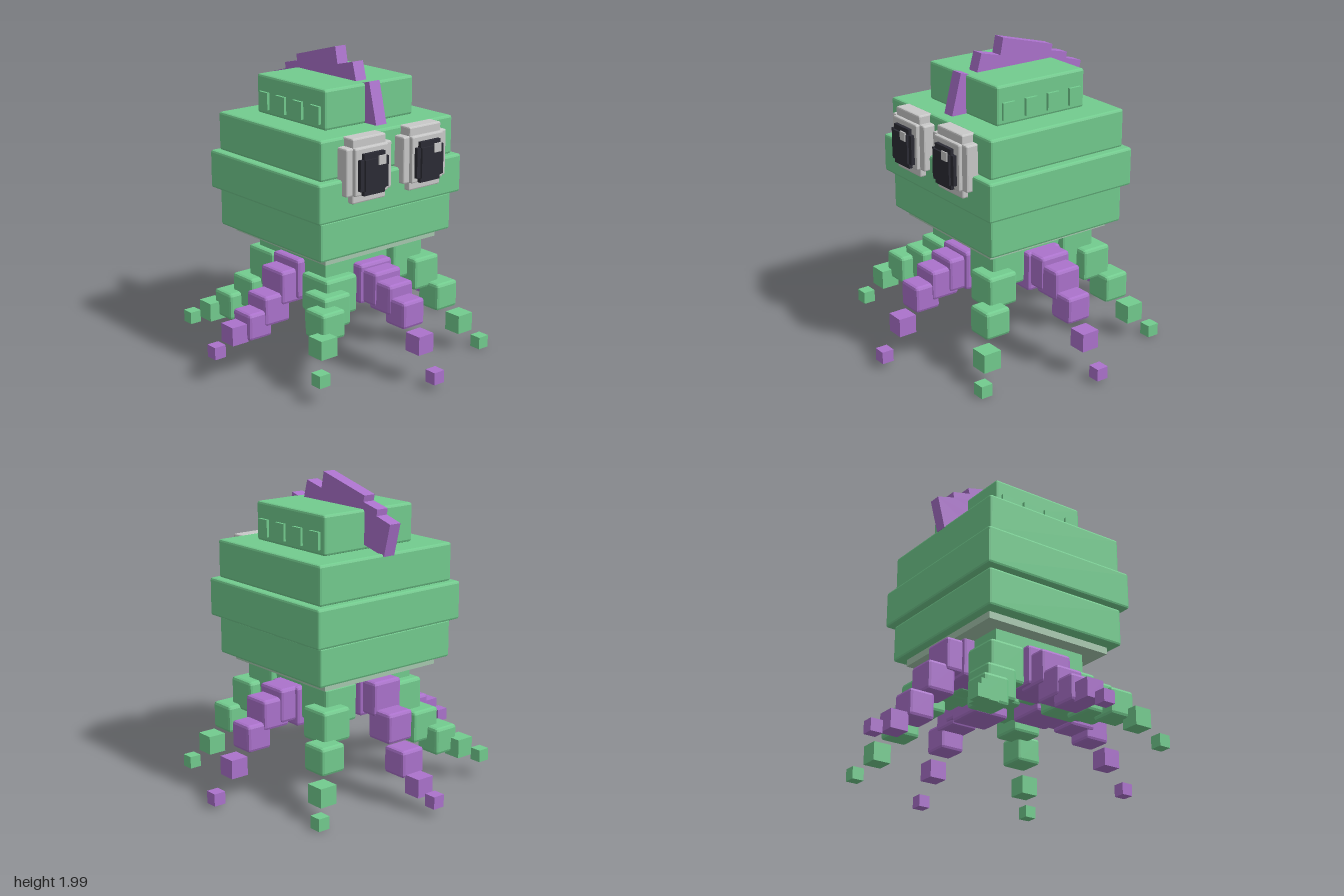
import * as THREE from 'three';
import { RoundedBoxGeometry } from 'three/addons/geometries/RoundedBoxGeometry.js';

const mat = (name, color) => {
  const m = new THREE.MeshStandardMaterial({ color });
  m.name = name;
  return m;
};

export function createModel() {
  const model = new THREE.Group();
  model.name = 'blockyOctopus';
  const green = mat('green', 0x72cb8e);
  const purple = mat('purple', 0xab72cc);
  const sage = mat('paleGreen', 0xa6c7ae);
  const grey = mat('lightGrey', 0xc8c8c8);
  const black = mat('black', 0x2b2b34);

  // Box with optional flat chamfered edges
  const block = (parent, name, material, [w, h, d], [x, y, z], bevel = 0) => {
    let geo;
    if (bevel) {
      geo = new RoundedBoxGeometry(w, h, d, 1, bevel);
      geo.computeVertexNormals();
    } else {
      geo = new THREE.BoxGeometry(w, h, d);
    }
    const mesh = new THREE.Mesh(geo, material);
    mesh.name = name;
    mesh.position.set(x, y, z);
    parent.add(mesh);
    return mesh;
  };
  const group = (name) => {
    const g = new THREE.Group();
    g.name = name;
    model.add(g);
    return g;
  };

  // Stacked body tiers
  const body = group('body');
  block(body, 'core', green, [0.71, 0.18, 0.67], [0, 0.69, 0]);
  block(body, 'skirt', sage, [0.91, 0.06, 0.91], [0, 0.795, 0]);
  block(body, 'lowerTier', green, [1.07, 0.25, 1.02], [0, 0.935, 0], 0.015);
  block(body, 'middleTier', green, [1.16, 0.25, 1.1], [0, 1.185, 0], 0.015);
  block(body, 'upperTier', green, [1.07, 0.25, 1.02], [0, 1.435, 0], 0.015);
  block(body, 'topTier', green, [0.714, 0.25, 0.67], [0, 1.685, 0], 0.015);

  // Small studs along both sides of the top tier
  for (const side of [-1, 1])
    for (const z of [-0.253, -0.084, 0.084, 0.253])
      block(body, 'sideStud', green, [0.04, 0.11, 0.088], [side * 0.355, 1.65, z]);

  // Stepped crest, outlined in z and y, extruded across x
  const outline = [
    [0.44, 1.565], [0.372, 1.826], [0.255, 1.795], [0.218, 1.925], [0.075, 1.89],
    [0.053, 1.998], [-0.335, 1.895], [-0.325, 1.855], [-0.452, 1.825], [-0.447, 1.785],
    [-0.569, 1.75], [-0.516, 1.545], [-0.3, 1.6], [0.3, 1.6], [0.31, 1.565],
  ];
  const shape = new THREE.Shape(outline.map(([z, y]) => new THREE.Vector2(-z, y)));
  const crestGeo = new THREE.ExtrudeGeometry(shape, { depth: 0.084, bevelEnabled: false });
  crestGeo.translate(0, 0, -0.042).rotateY(Math.PI / 2);
  const crest = new THREE.Mesh(crestGeo, purple);
  crest.name = 'crest';
  model.add(crest);

  // Eyes, each made from crossed blocks
  for (const side of [-1, 1]) {
    const eye = group(side > 0 ? 'leftEye' : 'rightEye');
    eye.position.x = side * 0.227;
    block(eye, 'eyeWide', grey, [0.357, 0.295, 0.1], [0, 1.358, 0.54], 0.01);
    block(eye, 'eyeTall', grey, [0.262, 0.4, 0.1], [0, 1.36, 0.54], 0.01);
    block(eye, 'eyeFace', grey, [0.262, 0.295, 0.1], [0, 1.358, 0.565], 0.01);
    block(eye, 'pupilWide', black, [0.22, 0.19, 0.05], [0, 1.34, 0.614]);
    block(eye, 'pupilTall', black, [0.164, 0.255, 0.05], [0, 1.342, 0.614]);
    block(eye, 'pupilFace', black, [0.164, 0.19, 0.05], [0, 1.34, 0.628]);
    block(eye, 'eyeGlint', grey, [0.056, 0.056, 0.009], [0.044, 1.422, 0.656]);
  }

  // Tentacles: cubes listed from tip to root, with their heights
  const tentacle = (name, material, dx, dz, reach, sizes, heights) => {
    const g = group(name);
    heights.forEach((y, i) => {
      const s = sizes[i];
      block(g, 'segment', material, [s, s, s], [dx * reach[i], y, dz * reach[i]], i > 1 ? 0.02 : 0);
    });
  };
  const straight = [0.95, 0.81, 0.672, 0.545, 0.41, 0.28];
  const straightSizes = [0.08, 0.12, 0.175, 0.195, 0.22, 0.26];
  const diagonal = [0.672, 0.575, 0.475, 0.373, 0.275, 0.18];
  const diagonalSizes = [0.08, 0.122, 0.18, 0.21, 0.25, 0.26];

  const purpleArms = [
    ['frontTentacle', 0, 1, [0.085, 0.265, 0.43, 0.5, 0.54, 0.55]],
    ['backTentacle', 0, -1, [0.1, 0.16, 0.285, 0.485, 0.65, 0.65]],
    ['leftTentacle', 1, 0, [0.07, 0.245, 0.42, 0.55, 0.59, 0.57]],
    ['rightTentacle', -1, 0, [0.2, 0.285, 0.32, 0.4, 0.53, 0.57]],
  ];
  for (const [name, dx, dz, heights] of purpleArms)
    tentacle(name, purple, dx, dz, straight, straightSizes, heights);

  const greenArms = [
    ['frontLeftTentacle', 1, 1, [0.05, 0.185, 0.38, 0.54, 0.64, 0.64]],
    ['backLeftTentacle', 1, -1, [0.05, 0.175, 0.36, 0.53, 0.63, 0.64]],
    ['frontRightTentacle', -1, 1, [0.16, 0.315, 0.41, 0.45, 0.505, 0.6]],
    ['backRightTentacle', -1, -1, [0.16, 0.215, 0.27, 0.37, 0.55, 0.63]],
  ];
  for (const [name, dx, dz, heights] of greenArms)
    tentacle(name, green, dx, dz, diagonal, diagonalSizes, heights);

  return model;
}
